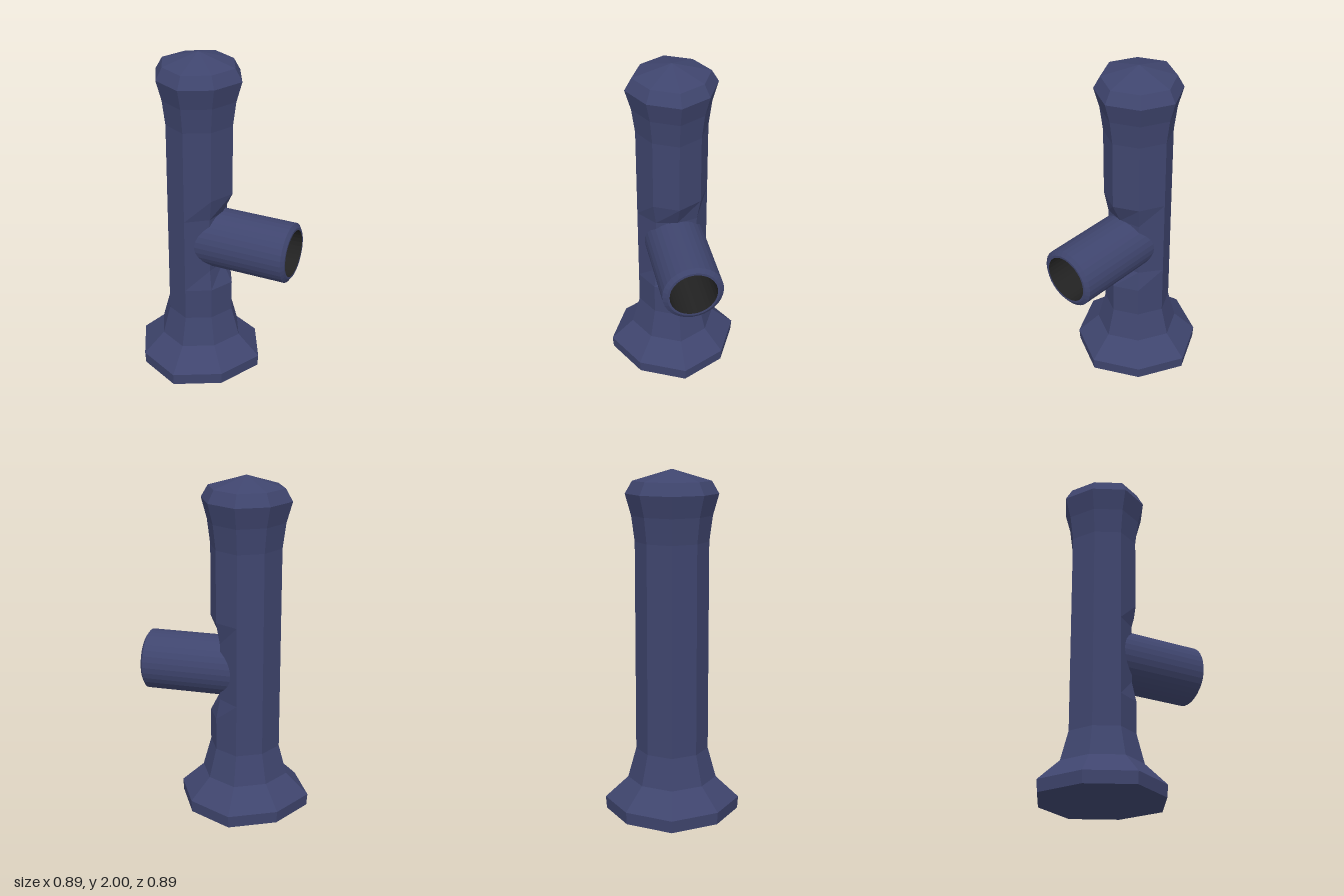
import * as THREE from 'three';

const CX = -0.085, CZ = -0.08; // column axis
const SPOUT_Y = 0.88;

// Rings of the octagonal column: [y, radius, inset on the spout side]
const RINGS = [
  [0.03, 0.36, 0], [0.1, 0.365, 0], [0.225, 0.24, 0], [0.4, 0.195, 0],
  [0.59, 0.195, 0], [0.71, 0.195, 1], [1.05, 0.195, 1], [1.18, 0.195, 0],
  [1.6, 0.195, 0], [1.745, 0.213, 0], [1.865, 0.245, 0], [1.935, 0.207, 0],
];

function columnGeometry() {
  const pos = [0, 0, 0], idx = [], n = 8;
  for (const [y, r, inset] of RINGS) {
    for (let i = 0; i < n; i++) {
      // corner 0 faces +z, corner 1 the spout, corner 2 +x
      const a = (i * Math.PI) / 4;
      let d = i % 2 ? r * 1.064 : r;
      if (inset && i <= 2) d -= i === 1 ? 0.06 : 0.025;
      pos.push(Math.sin(a) * d, y, Math.cos(a) * d);
    }
  }
  pos.push(0, 2, 0);
  const apex = pos.length / 3 - 1, last = 1 + (RINGS.length - 1) * n;
  for (let i = 0; i < n; i++) {
    const j = (i + 1) % n;
    idx.push(0, 1 + j, 1 + i, last + i, last + j, apex);
    for (let k = 0; k < RINGS.length - 1; k++) {
      const a = 1 + k * n + i, b = 1 + k * n + j;
      idx.push(a, b, b + n, a, b + n, a + n);
    }
  }
  const g = new THREE.BufferGeometry();
  g.setAttribute('position', new THREE.Float32BufferAttribute(pos, 3));
  g.setIndex(idx);
  const flat = g.toNonIndexed();
  flat.computeVertexNormals();
  return flat;
}

// Lathe from [radius, distance along the axis] pairs
const lathe = (pts) =>
  new THREE.LatheGeometry(pts.map(([r, d]) => new THREE.Vector2(r, d)), 32);

export function createModel() {
  const group = new THREE.Group();
  const paint = new THREE.MeshStandardMaterial({ color: 0x3f456e, flatShading: true });
  const dark = new THREE.MeshStandardMaterial({ color: 0x222222, flatShading: true, side: THREE.DoubleSide });

  const column = new THREE.Mesh(columnGeometry(), paint);
  column.name = 'column';
  column.position.set(CX, 0, CZ);
  group.add(column);

  // Spout: horizontal pipe pointing between +x and +z
  const spout = new THREE.Group();
  spout.name = 'spout';
  const pipe = new THREE.Mesh(
    lathe([[0.175, 0], [0.175, 0.573], [0.15, 0.59], [0.137, 0.59]]), paint);
  pipe.name = 'spoutPipe';
  const bore = new THREE.Mesh(lathe([[0.137, 0.59], [0.137, 0.24], [0, 0.24]]), dark);
  bore.name = 'spoutBore';
  spout.add(pipe, bore);
  spout.position.set(CX, SPOUT_Y, CZ);
  spout.quaternion.setFromUnitVectors(
    new THREE.Vector3(0, 1, 0), new THREE.Vector3(1, 0, 1).normalize());
  group.add(spout);

  return group;
}
